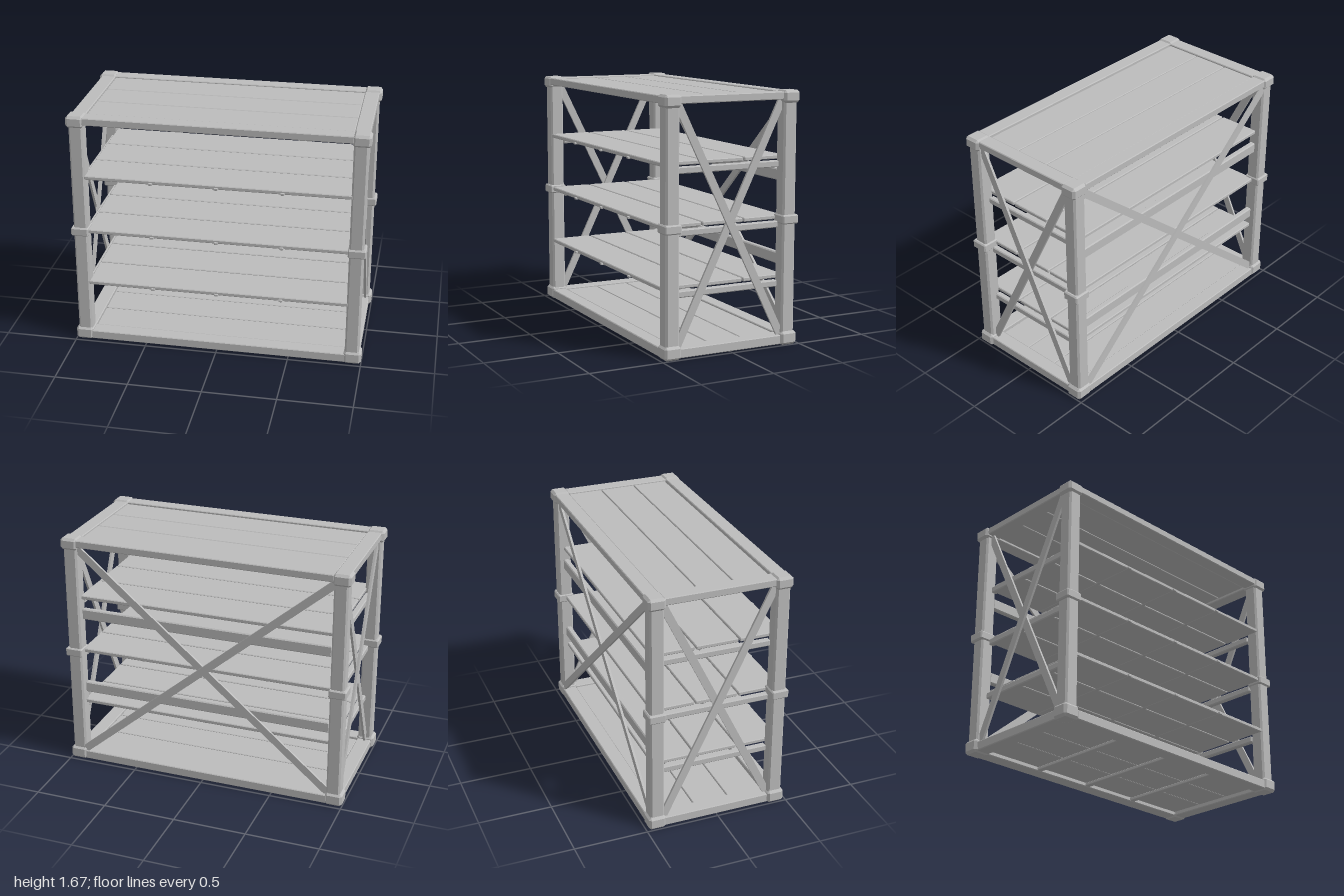
import * as THREE from 'three';
import { ConvexGeometry } from 'three/addons/geometries/ConvexGeometry.js';

// Box with chamfered edges, centred on the origin
function chamferBox(w, h, d, c) {
  const pts = [];
  for (const sx of [-1, 1]) for (const sy of [-1, 1]) for (const sz of [-1, 1]) {
    const x = sx * w / 2, y = sy * h / 2, z = sz * d / 2;
    pts.push(
      new THREE.Vector3(x, y - sy * c, z - sz * c),
      new THREE.Vector3(x - sx * c, y, z - sz * c),
      new THREE.Vector3(x - sx * c, y - sy * c, z)
    );
  }
  return new ConvexGeometry(pts);
}

export function createModel() {
  const model = new THREE.Group();
  model.name = 'shelfRack';
  const grey = new THREE.MeshStandardMaterial({ color: 0xbcbcbc });
  grey.name = 'plainGrey';

  // Adds a chamfered box given by its limits on each axis
  function block(name, [x0, x1], [y0, y1], [z0, z1], c = 0.005) {
    const mesh = new THREE.Mesh(chamferBox(x1 - x0, y1 - y0, z1 - z0, c), grey);
    mesh.position.set((x0 + x1) / 2, (y0 + y1) / 2, (z0 + z1) / 2);
    mesh.name = name;
    model.add(mesh);
    return mesh;
  }
  const span = (s, a, b) => (s > 0 ? [a, b] : [-b, -a]);

  // Corner posts with collars at foot, middle and top
  for (const sx of [-1, 1]) for (const sz of [-1, 1]) {
    block('post', span(sx, 0.887, 0.983), [0.02, 1.65], span(sz, 0.374, 0.47), 0.012);
    const cx = span(sx, 0.88, 1), cz = span(sz, 0.366, 0.483);
    block('footCollar', cx, [0, 0.09], cz, 0.016);
    block('middleCollar', cx, [0.803, 0.863], cz, 0.008);
    block('topCap', cx, [1.585, 1.667], cz, 0.016);
  }

  // Frame rails at top and bottom
  for (const [y0, y1] of [[0.006, 0.068], [1.608, 1.658]]) {
    for (const s of [-1, 1]) {
      block('longRail', [-0.89, 0.89], [y0, y1], span(s, 0.376, 0.475));
      block('sideRail', span(s, 0.885, 0.983), [y0, y1], [-0.375, 0.375]);
    }
  }

  // Top and bottom panels, three boards each
  for (const [name, y0, y1] of [['topBoard', 1.622, 1.65], ['bottomBoard', 0.03, 0.058]]) {
    for (let i = -1; i <= 1; i++) {
      const z = i * 0.248 - 0.006;
      block(name, [-0.882, 0.882], [y0, y1], [z - 0.121, z + 0.121], 0.004);
    }
  }
  const battenXs = [-0.44, 0, 0.44];
  for (const x of battenXs) {
    block('bottomBatten', [x - 0.02, x + 0.02], [0.01, 0.03], [-0.38, 0.38], 0.003);
  }

  // Three shelves: boards, battens underneath and end supports
  for (const top of [0.458, 0.85, 1.245]) {
    for (let i = 0; i < 3; i++) {
      const z = 0.32 - i * 0.3;
      block('shelfBoard', [-0.895, 0.895], [top - 0.027, top], [z - 0.145, z + 0.145], 0.005);
    }
    for (const x of battenXs) {
      block('shelfBatten', [x - 0.013, x + 0.013], [top - 0.029, top - 0.014], [-0.42, 0.478], 0.002);
    }
    for (const s of [-1, 1]) {
      block('shelfSupport', span(s, 0.888, 0.93), [top - 0.076, top - 0.033], [-0.37, 0.37], 0.006);
    }
  }

  // Horizontal bars across the back
  for (const y of [0.56, 1.113]) {
    block('backBar', [-0.882, 0.882], [y - 0.038, y + 0.038], [-0.435, -0.395], 0.007);
  }

  // Crossed flat braces on the back
  const rise = 1.55, midY = 0.835;
  function brace(name, run, tilt) {
    const mesh = new THREE.Mesh(new THREE.BoxGeometry(Math.hypot(run, rise), 0.052, 0.016), grey);
    mesh.rotation.z = tilt * Math.atan2(rise, run);
    const holder = new THREE.Group();
    holder.name = name;
    holder.add(mesh);
    model.add(holder);
    return holder;
  }
  brace('backBrace', 1.83, -1).position.set(0, midY, -0.46);
  brace('backBrace', 1.83, 1).position.set(0, midY, -0.444);

  // Crossed flat braces on both ends
  for (const s of [-1, 1]) for (const tilt of [-1, 1]) {
    const b = brace('sideBrace', 0.76, tilt);
    b.rotation.y = Math.PI / 2;
    b.position.set(s * (tilt < 0 ? 0.94 : 0.956), midY, 0);
    // local x points to -z, so tilt +1 rises towards the back
    if (tilt < 0) b.position.x = s * 0.956;
    else b.position.x = s * 0.94;
  }

  return model;
}
